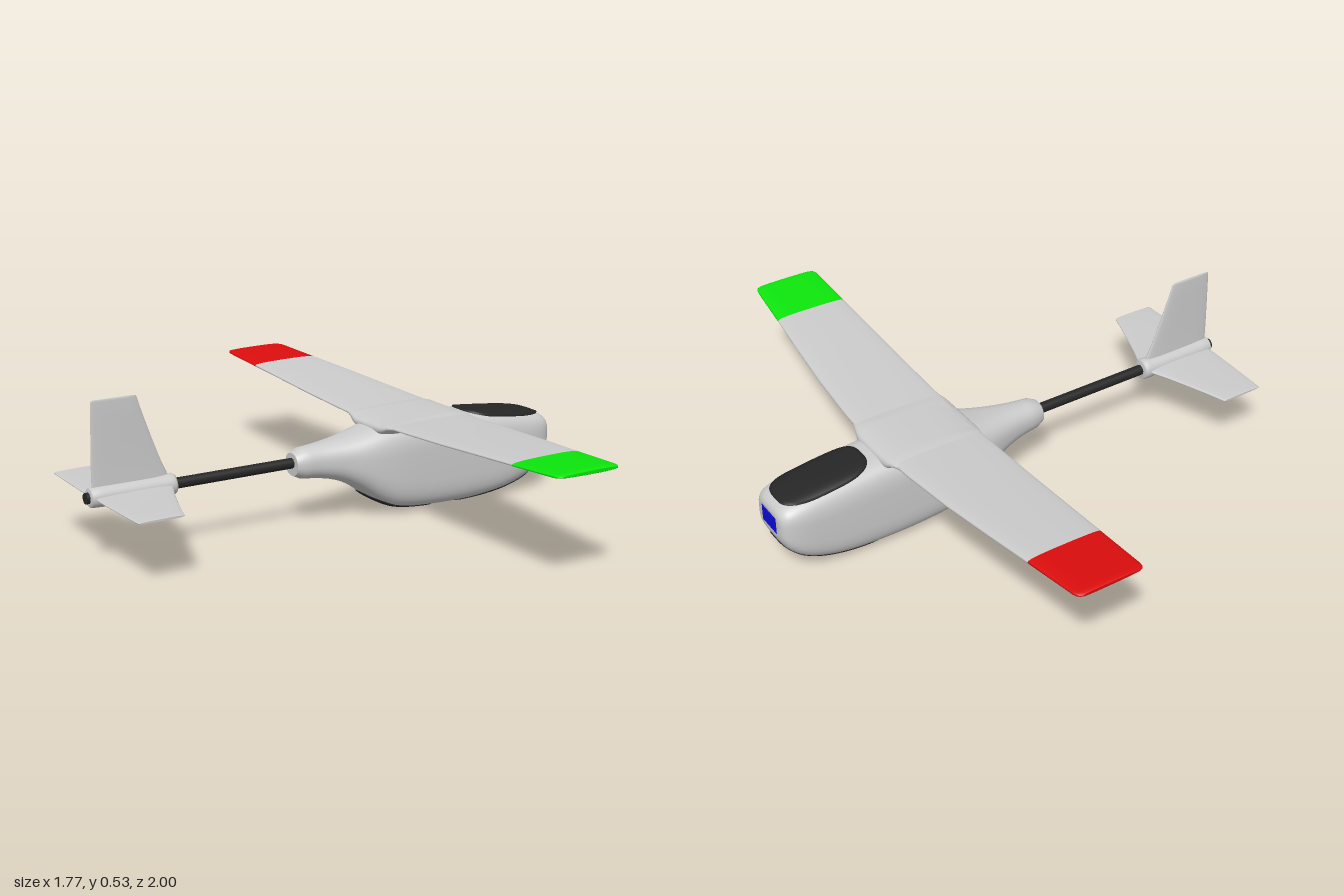
import * as THREE from 'three';

const mat = (color, side = THREE.FrontSide) =>
  new THREE.MeshStandardMaterial({ color, side });
const GREY = mat(0xcccccc), DARK = mat(0x262626), GLASS = mat(0x262626, THREE.DoubleSide);
const GREEN = mat(0x0ce60c), RED = mat(0xdc0d0d), BLUE = mat(0x0d0de0);

// Skin a list of equal-length rings (arrays of [x, y, z]) and cap both ends
function loft(rings) {
  const n = rings[0].length, m = rings.length;
  const pos = rings.flat(2), idx = [];
  for (let i = 0; i < m - 1; i++) for (let j = 0; j < n; j++) {
    const a = i * n + j, b = i * n + (j + 1) % n;
    idx.push(a, b, a + n, b, b + n, a + n);
  }
  for (const [ring, end] of [[rings[0], 0], [rings[m - 1], 1]]) {
    const base = pos.length / 3;
    ring.forEach(p => pos.push(...p));
    pos.push(...[0, 1, 2].map(k => ring.reduce((s, p) => s + p[k], 0) / n));
    for (let j = 0; j < n; j++) {
      const a = base + j, b = base + (j + 1) % n;
      idx.push(...(end ? [a, b, base + n] : [b, a, base + n]));
    }
  }
  // make the winding face outward whichever way the rings run
  let vol = 0;
  const P = i => new THREE.Vector3(pos[3 * i], pos[3 * i + 1], pos[3 * i + 2]);
  for (let i = 0; i < idx.length; i += 3)
    vol += P(idx[i]).dot(P(idx[i + 1]).cross(P(idx[i + 2])));
  if (vol < 0) idx.reverse();
  const g = new THREE.BufferGeometry();
  g.setAttribute('position', new THREE.Float32BufferAttribute(pos, 3));
  g.setIndex(idx);
  g.computeVertexNormals();
  return g;
}

const spow = (v, p) => Math.sign(v) * Math.abs(v) ** p;

// Interpolate rows [key, ...values] with smooth Hermite segments
function sample(rows, x) {
  let i = 0;
  while (i < rows.length - 2 && x > rows[i + 1][0]) i++;
  const a = rows[i], b = rows[i + 1], p = rows[Math.max(i - 1, 0)], q = rows[Math.min(i + 2, rows.length - 1)];
  const d = b[0] - a[0], t = Math.min(1, Math.max(0, (x - a[0]) / d));
  return a.slice(1).map((v, k) => {
    const w = b[k + 1];
    const m0 = (w - p[k + 1]) / (b[0] - p[0]) * d, m1 = (q[k + 1] - v) / (q[0] - a[0]) * d;
    return v * (2 * t ** 3 - 3 * t * t + 1) + m0 * (t ** 3 - 2 * t * t + t)
      + w * (3 * t * t - 2 * t ** 3) + m1 * (t ** 3 - t * t);
  });
}

// Fuselage profile: x, bottom, top, half width, squareness
const BODY = [
  [-0.14, 0.178, 0.255, 0.04, 2.2], [-0.13, 0.168, 0.266, 0.048, 2.2], [-0.05, 0.158, 0.274, 0.058, 2.3],
  [0.03, 0.138, 0.283, 0.076, 2.5], [0.1, 0.1, 0.295, 0.095, 2.8], [0.17, 0.05, 0.312, 0.107, 3.2],
  [0.24, 0.02, 0.32, 0.113, 3.6], [0.36, 0.008, 0.322, 0.115, 4], [0.52, 0.004, 0.314, 0.115, 4],
  [0.65, 0.013, 0.302, 0.114, 4], [0.74, 0.033, 0.292, 0.112, 3.9], [0.81, 0.065, 0.281, 0.108, 3.8],
  [0.855, 0.105, 0.268, 0.097, 3.7], [0.875, 0.138, 0.252, 0.08, 3.6], [0.88, 0.155, 0.24, 0.065, 3.6],
];

function bodyRing(x) {
  const [lo, hi, w, n] = sample(BODY, x);
  return Array.from({ length: 56 }, (_, j) => {
    const a = j / 56 * Math.PI * 2;
    return [x, (lo + hi) / 2 + (hi - lo) / 2 * spow(Math.sin(a), 2 / n), w * spow(Math.cos(a), 2 / n)];
  });
}

// Height of the fuselage skin; s = 1 for the top, -1 for the belly
function skinY(x, z, s) {
  const [lo, hi, w, n] = sample(BODY, x);
  const k = Math.max(0, 1 - Math.min(1, Math.abs(z / w)) ** n) ** (1 / n);
  return (lo + hi) / 2 + s * (hi - lo) / 2 * k;
}

// Thin rounded panel that follows the fuselage skin
function panel(x0, x1, halfW, power, s, lift) {
  const R = 14, N = 56, pos = [], idx = [], e = 0.002;
  for (let r = 0; r <= R; r++) for (let j = 0; j < N; j++) {
    const a = j / N * Math.PI * 2, f = Math.min(r / (R - 1), 1);
    const x = (x0 + x1) / 2 + (x1 - x0) / 2 * f * spow(Math.cos(a), 2 / power);
    const z = halfW * f * spow(Math.sin(a), 2 / power);
    const dx = (skinY(x + e, z, s) - skinY(x - e, z, s)) / (2 * e);
    const dz = (skinY(x, z + e, s) - skinY(x, z - e, s)) / (2 * e);
    const nrm = new THREE.Vector3(-dx, 1, -dz).normalize().multiplyScalar(s * (r === R ? -0.004 : lift));
    pos.push(x + nrm.x, skinY(x, z, s) + nrm.y, z + nrm.z);
    if (r < R) {
      const p = r * N + j, q = r * N + (j + 1) % N;
      idx.push(...(s > 0 ? [p, q, p + N, q, q + N, p + N] : [p, p + N, q, q, p + N, q + N]));
    }
  }
  const g = new THREE.BufferGeometry();
  g.setAttribute('position', new THREE.Float32BufferAttribute(pos, 3));
  g.setIndex(idx);
  g.computeVertexNormals();
  return g;
}

// Aerofoil ring: trailing x, leading x, centre height, thickness, span position
function foil(te, le, y, t, z) {
  return Array.from({ length: 36 }, (_, j) => {
    const a = j / 36 * Math.PI * 2, c = spow(Math.cos(a), 0.75);
    return [(te + le) / 2 + (le - te) / 2 * c, y + t / 2 * spow(Math.sin(a), 0.65) * (0.85 + 0.15 * c), z];
  });
}

// Wing stations: span, trailing x, leading x, centre height, thickness
const WING = [
  [0, 0.168, 0.495, 0.318, 0.03], [0.2, 0.168, 0.488, 0.326, 0.028], [0.4, 0.168, 0.473, 0.336, 0.027],
  [0.6, 0.168, 0.452, 0.349, 0.026], [0.78, 0.168, 0.43, 0.36, 0.025], [0.97, 0.168, 0.409, 0.372, 0.024],
  [0.985, 0.17, 0.406, 0.373, 0.022], [0.995, 0.176, 0.4, 0.374, 0.018], [1, 0.186, 0.39, 0.374, 0.012],
];
// Tail surface stations, same columns, measured from the boom axis
const TAIL = [
  [0, -0.862, -0.585, 0, 0.024], [0.04, -0.862, -0.598, 0, 0.02], [0.1, -0.862, -0.625, 0, 0.016],
  [0.18, -0.86, -0.655, 0, 0.015], [0.25, -0.858, -0.68, 0, 0.014], [0.308, -0.856, -0.699, 0, 0.013],
  [0.314, -0.852, -0.704, 0, 0.008],
];
const surface = (rows, sign = 1) => loft(rows.map(([z, te, le, y, t]) => foil(te, le, y, t, z * sign)));

export function createModel() {
  const model = new THREE.Group();
  const add = (name, geo, material = GREY) => {
    const m = new THREE.Mesh(geo, material);
    m.name = name;
    model.add(m);
    return m;
  };
  const AXIS = 0.221;

  // Fuselage with canopy and belly panels
  const xs = Array.from({ length: 61 }, (_, i) => -0.14 + 1.02 * Math.sin(i / 60 * Math.PI / 2));
  add('fuselage', loft(xs.map(bodyRing)));
  add('canopy', panel(0.54, 0.855, 0.086, 3.2, 1, 0.005), GLASS);
  add('frontBellyPanel', panel(0.46, 0.872, 0.088, 2.5, -1, 0.003), GLASS);
  add('rearBellyPanel', panel(0.13, 0.41, 0.075, 2.8, -1, 0.003), GLASS);

  // Nose window
  const w = 0.04, h = 0.024;
  const win = new THREE.Shape().moveTo(-w, -h).lineTo(w, -h).lineTo(w, h).lineTo(-w, h).closePath();
  const winGeo = new THREE.ExtrudeGeometry(win, {
    depth: 0.025, bevelSize: 0.008, bevelThickness: 0.004, bevelSegments: 3,
  });
  winGeo.rotateY(Math.PI / 2).translate(0.853, 0.198, 0);
  add('noseWindow', winGeo, BLUE);

  // Wing panels with coloured tips
  for (const [side, sign, color] of [['left', 1, GREEN], ['right', -1, RED]]) {
    add(side + 'Wing', surface(WING.slice(0, 5), sign));
    add(side + 'WingTip', surface(WING.slice(4), sign), color);
    add(side + 'Stabilizer', surface(TAIL, sign)).position.y = AXIS;
  }

  // Saddle that blends the wing into the fuselage
  const saddle = [
    [0, 0.152, 0.512, 0.306, 0.075], [0.07, 0.153, 0.511, 0.307, 0.072], [0.09, 0.156, 0.508, 0.312, 0.062],
    [0.11, 0.161, 0.502, 0.319, 0.044], [0.13, 0.166, 0.495, 0.322, 0.031], [0.15, 0.17, 0.488, 0.323, 0.024],
  ];
  const other = saddle.slice(1).reverse().map(([z, ...r]) => [-z, ...r]);
  add('wingSaddle', surface([...other, ...saddle]));

  // Tail boom
  const boom = new THREE.CylinderGeometry(0.018, 0.018, 0.785, 28).rotateZ(Math.PI / 2);
  add('tailBoom', boom.translate(-0.4925, AXIS, 0), DARK);

  // Tail hub
  const hub = [[0, -0.874], [0.026, -0.874], [0.032, -0.868], [0.034, -0.83], [0.035, -0.65],
    [0.037, -0.6], [0.036, -0.584], [0.031, -0.577], [0, -0.577]];
  const hubGeo = new THREE.LatheGeometry(hub.map(p => new THREE.Vector2(...p)), 32);
  add('tailHub', hubGeo.rotateZ(-Math.PI / 2).translate(0, AXIS, 0));

  // Upright fin
  const fin = add('fin', surface(TAIL).rotateX(-Math.PI / 2));
  fin.position.y = AXIS - 0.006;

  return model;
}
